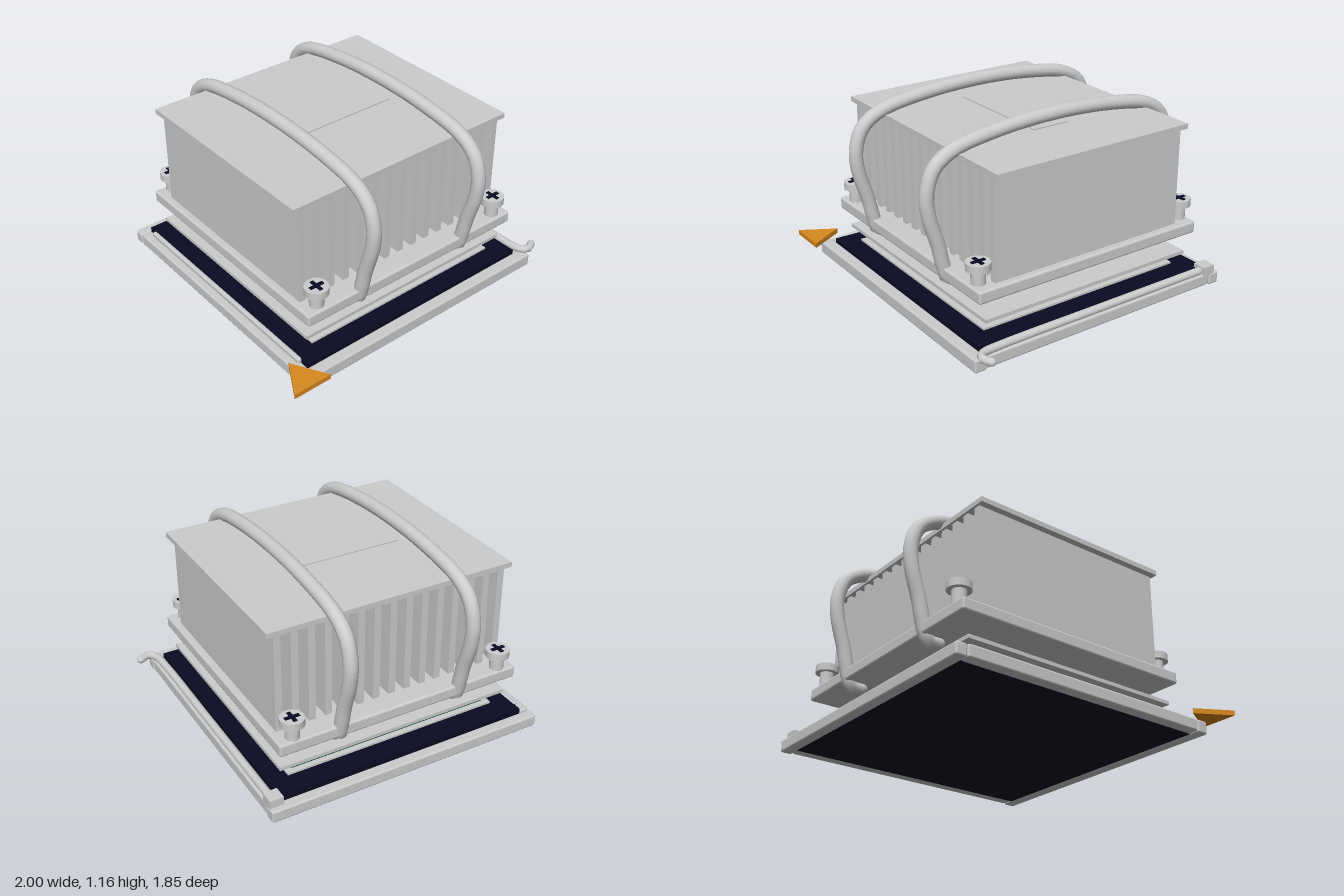
import * as THREE from 'three';
import { RoundedBoxGeometry } from 'three/addons/geometries/RoundedBoxGeometry.js';

export function createModel() {
  const model = new THREE.Group();
  model.name = 'processorCooler';
  const mat = (name, color) => {
    const m = new THREE.MeshStandardMaterial({ color });
    m.name = name;
    return m;
  };
  const metal = mat('lightMetal', 0xcccccc);
  const dark = mat('darkNavy', 0x0a0a22);
  const green = mat('boardGreen', 0x0f4a32);
  const gold = mat('markerGold', 0xd88a20);

  const add = (name, geo, material) => {
    const mesh = new THREE.Mesh(geo, material);
    mesh.name = name;
    model.add(mesh);
    return mesh;
  };
  // Box from its limits on each axis; bevel > 0 rounds the edges
  const block = (name, material, [x0, x1], [y0, y1], [z0, z1], bevel = 0) => {
    const size = [x1 - x0, y1 - y0, z1 - z0];
    const geo = bevel ? new RoundedBoxGeometry(...size, 2, bevel) : new THREE.BoxGeometry(...size);
    geo.translate((x0 + x1) / 2, (y0 + y1) / 2, (z0 + z1) / 2);
    return add(name, geo, material);
  };
  // Smooth rod with ball ends
  const rod = (name, points, radius, segments) => {
    const path = points.map(p => new THREE.Vector3(...p));
    add(name, new THREE.TubeGeometry(new THREE.CatmullRomCurve3(path), segments, radius, 14), metal);
    for (const end of [path[0], path[path.length - 1]]) {
      add(name + 'End', new THREE.SphereGeometry(radius, 14, 10), metal).position.copy(end);
    }
  };
  // Flat triangle pointing to the back
  const triangle = (name, x, half, zFront, zBack, y, height) => {
    const shape = new THREE.Shape();
    shape.moveTo(x - half, -zFront);
    shape.lineTo(x + half, -zFront);
    shape.lineTo(x, -zBack);
    const geo = new THREE.ExtrudeGeometry(shape, { depth: height, bevelEnabled: false });
    geo.rotateX(-Math.PI / 2).translate(0, y, 0);
    add(name, geo, gold);
  };

  // Socket frame and contact plate
  block('frameFront', metal, [-0.86, 0.9], [0, 0.08], [0.765, 0.84], 0.012);
  block('frameBack', metal, [-0.86, 0.9], [0, 0.075], [-0.925, -0.855], 0.012);
  block('frameLeft', metal, [-0.86, -0.79], [0.005, 0.08], [-0.85, 0.762], 0.012);
  block('frameRight', metal, [0.822, 0.896], [0.005, 0.08], [-0.85, 0.762], 0.012);
  block('leverHinge', metal, [0.812, 0.896], [0.06, 0.125], [-0.89, -0.805]);
  block('sideRail', metal, [-0.815, -0.785], [0.06, 0.108], [-0.8, 0.71], 0.012);
  block('socketPlate', dark, [-0.79, 0.825], [0.006, 0.103], [-0.855, 0.768]);
  triangle('socketMarker', -0.878, 0.122, 0.922, 0.71, 0.094, 0.03);
  rod('lockLever', [
    [0.86, 0.095, -0.82], [0.86, 0.095, 0], [0.862, 0.095, 0.65],
    [0.875, 0.096, 0.77], [0.91, 0.096, 0.808], [0.972, 0.094, 0.785],
  ], 0.024, 60);

  // Processor: carrier, board, small chips and lid
  block('carrier', metal, [-0.67, 0.7], [0.103, 0.115], [-0.72, 0.65]);
  block('board', green, [-0.63, 0.66], [0.115, 0.145], [-0.685, 0.605]);
  triangle('boardMarker', -0.558, 0.077, 0.585, 0.45, 0.145, 0.02);
  for (let i = 0; i < 8; i++) {
    const x = -0.436 + i * 0.1512;
    const z = 0.412 - i * 0.1512;
    for (const zc of [0.56, -0.64]) {
      block('edgeChip', dark, [x - 0.025, x + 0.025], [0.145, 0.16], [zc - 0.015, zc + 0.015]);
    }
    for (const xc of [-0.59, 0.62]) {
      block('edgeChip', dark, [xc - 0.015, xc + 0.015], [0.145, 0.16], [z - 0.025, z + 0.025]);
    }
  }
  block('lidFoot', metal, [-0.54, 0.575], [0.145, 0.186], [-0.6, 0.52]);
  block('retentionPlate', metal, [-0.73, 0.765], [0.185, 0.207], [-0.757, 0.68]);
  block('lidTop', metal, [-0.48, 0.51], [0.206, 0.235], [-0.535, 0.455]);

  // Heat sink: contact block, base, fins and cover
  block('contactBlock', metal, [-0.517, 0.553], [0.23, 0.312], [-0.578, 0.498], 0.01);
  block('contactPad', metal, [-0.5, 0.535], [0.31, 0.33], [-0.56, 0.48]);
  block('sinkBase', metal, [-0.757, 0.79], [0.32, 0.395], [-0.813, 0.735], 0.014);
  for (let i = 0; i < 15; i++) {
    const x = -0.695 + i * 0.1015;
    block('fin', metal, [x - 0.021, x + 0.021], [0.39, 1.003], [-0.685, 0.605]);
  }
  block('coverPlate', metal, [-0.757, 0.79], [1, 1.031], [-0.7, 0.62]);
  block('coverLabel', metal, [-0.34, 0.375], [1.03, 1.038], [-0.16, 0.078]);

  // Heat pipes: half profile (distance from middle, height), mirrored front to back
  const half = [
    [0.655, 0.298], [0.72, 0.305], [0.755, 0.4], [0.782, 0.52], [0.835, 0.7],
    [0.846, 0.83], [0.8, 0.965], [0.685, 1.045], [0.4, 1.1],
  ];
  for (const x of [-0.37, 0.405]) {
    const front = half.map(([d, y]) => [x, y, -0.04 + d]);
    const back = half.map(([d, y]) => [x, y, -0.04 - d]).reverse();
    rod('heatPipe', [...front, [x, 1.122, -0.04], ...back], 0.042, 72);
  }

  // Corner screws with cross slots
  for (const x of [-0.655, 0.69]) {
    for (const z of [-0.765, 0.675]) {
      add('screwShaft', new THREE.CylinderGeometry(0.042, 0.042, 0.09, 20), metal).position.set(x, 0.435, z);
      add('screwHead', new THREE.CylinderGeometry(0.07, 0.07, 0.045, 24), metal).position.set(x, 0.5, z);
      for (const [a, b] of [[0.044, 0.011], [0.011, 0.044]]) {
        block('screwSlot', dark, [x - a, x + a], [0.52, a > b ? 0.528 : 0.5275], [z - b, z + b]);
      }
    }
  }
  return model;
}
